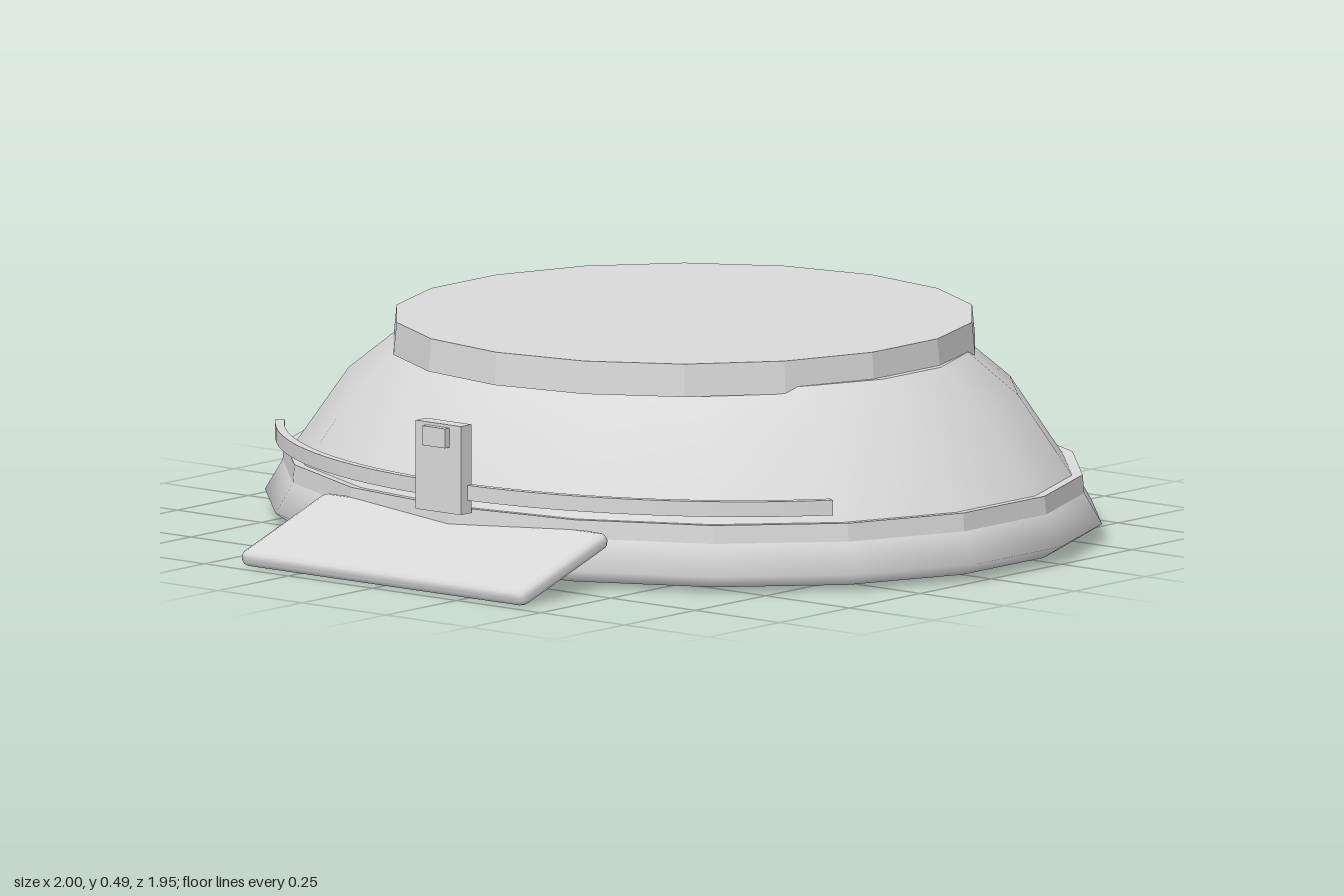
import * as THREE from 'three';
import { RoundedBoxGeometry } from 'three/addons/geometries/RoundedBoxGeometry.js';

const SIDES = 18;
const DEPTH_RATIO = 0.86; // the body is slightly shorter front to back
const CENTRE_Z = -0.1025;

export function createModel() {
  const group = new THREE.Group();
  const grey = new THREE.MeshStandardMaterial({ color: 0xd9d9d9, side: THREE.DoubleSide });
  grey.name = 'light grey';

  function add(name, geometry, x = 0, y = 0, z = 0) {
    const mesh = new THREE.Mesh(geometry, grey);
    mesh.name = name;
    mesh.position.set(x, y, z);
    group.add(mesh);
    return mesh;
  }

  function faceted(geometry) {
    const flat = geometry.toNonIndexed();
    flat.computeVertexNormals();
    return flat;
  }

  // Oval ring or shell from a [radius, height] profile
  function oval(name, profile, flat = false) {
    const points = profile.map(([r, y]) => new THREE.Vector2(r, y));
    const geometry = new THREE.LatheGeometry(points, SIDES);
    geometry.scale(1, 1, DEPTH_RATIO);
    return add(name, flat ? faceted(geometry) : geometry, 0, 0, CENTRE_Z);
  }

  // Domed shell, open underneath
  oval('dome', [[0.942, 0.155], [0.812, 0.335], [0.69, 0.43]]);
  oval('domeTop', [[0.69, 0.43], [0, 0.43]], true);
  oval('domeLining', [[0.915, 0.014], [0.905, 0.15], [0.78, 0.32], [0.61, 0.405]]);
  oval('ceiling', [[0.61, 0.405], [0, 0.405]], true);

  // Flared rim with a flat band and a small ledge
  oval('rimFlare', [[0.965, 0.014], [1.015, 0.045], [0.972, 0.115]]);
  oval('rimBand', [[0.972, 0.115], [0.968, 0.157]], true);
  oval('rimLedge', [[0.968, 0.157], [0.942, 0.155]], true);
  oval('rimUnderside', [[0.915, 0.014], [0.965, 0.014]], true);

  // Round cap
  add('cap', faceted(new THREE.CylinderGeometry(0.666, 0.673, 0.075, SIDES)), 0, 0.4535, CENTRE_Z - 0.003);

  // Sloping front plate with bevelled edges
  const plate = add('frontPlate', new RoundedBoxGeometry(0.845, 0.04, 0.327, 1, 0.018), 0, 0.069, 0.815);
  plate.rotation.x = 0.32;

  // Curved strap standing off the front of the dome
  const sweep = 1.0;
  const from = Math.PI / 2 - sweep;
  const to = Math.PI / 2 + sweep;
  const band = new THREE.Shape();
  band.absellipse(0, 0, 0.985, 0.985 * DEPTH_RATIO, from, to, false);
  band.absellipse(0, 0, 0.963, 0.963 * DEPTH_RATIO, to, from, true);
  const strap = new THREE.ExtrudeGeometry(band, { depth: 0.035, bevelEnabled: false, curveSegments: 16 });
  strap.rotateX(Math.PI / 2);
  add('strap', strap, 0, 0.215, CENTRE_Z);

  // Upright tab with a small button
  add('tab', new THREE.BoxGeometry(0.134, 0.205, 0.038), 0, 0.252, 0.748);
  add('button', new THREE.BoxGeometry(0.068, 0.045, 0.025), 0, 0.325, 0.771);

  return group;
}
